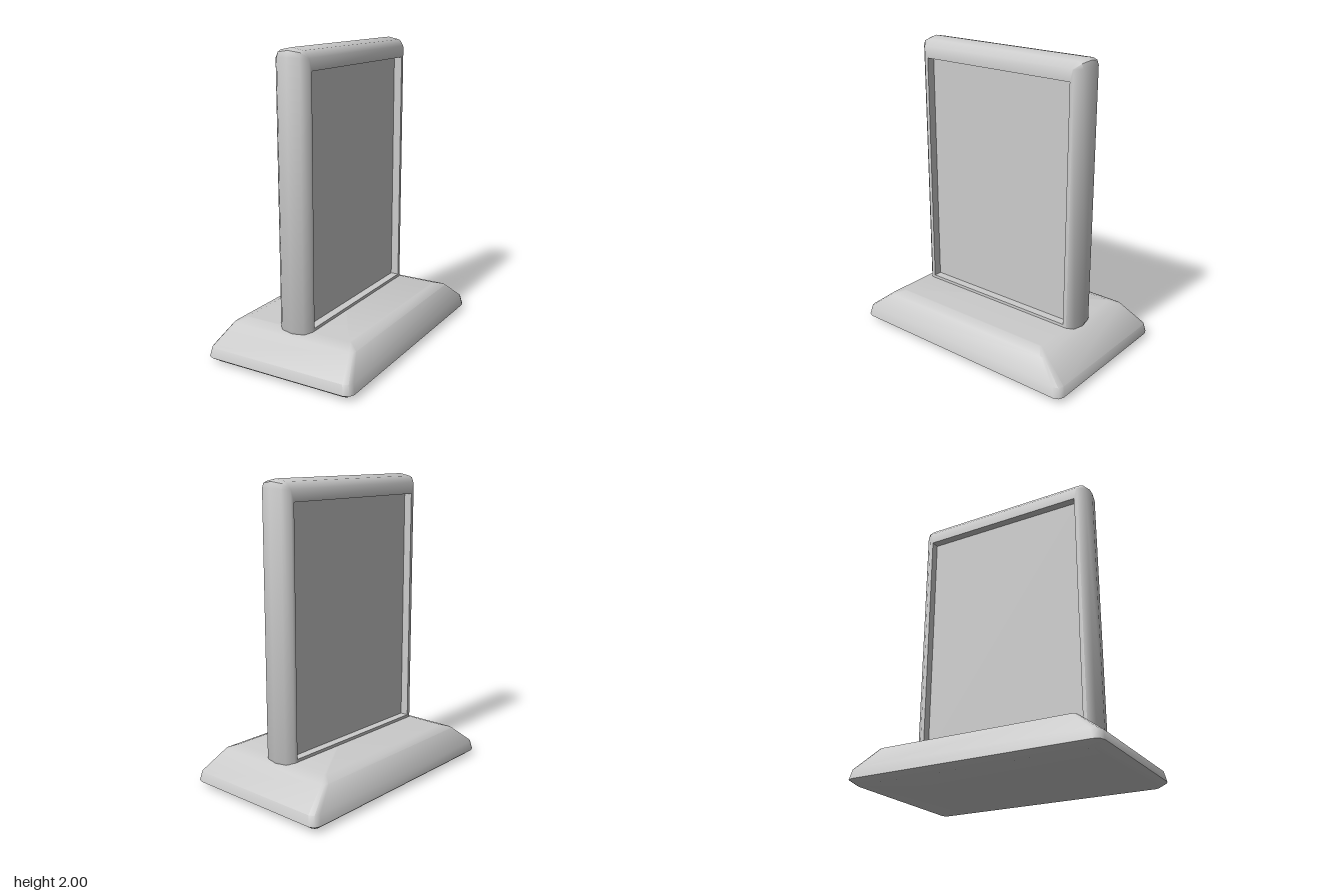
import * as THREE from 'three';
import { toCreasedNormals } from 'three/addons/utils/BufferGeometryUtils.js';

// Rounded rectangle, counter-clockwise, three points per corner
function roundedRect(u0, u1, v0, v1, r) {
  const corners = [[u1 - r, v1 - r], [u0 + r, v1 - r], [u0 + r, v0 + r], [u1 - r, v0 + r]];
  const points = [];
  corners.forEach(([u, v], q) => {
    for (let k = 0; k < 3; k++) {
      const a = (q + k / 2) * Math.PI / 2;
      points.push([u + r * Math.cos(a), v + r * Math.sin(a)]);
    }
  });
  return points;
}

// Skin a stack of loops of Vector3, optionally closing both ends
function loft(loops, capped) {
  const n = loops[0].length;
  const position = [];
  const tri = (...corners) => corners.forEach(p => position.push(p.x, p.y, p.z));
  for (let i = 0; i < loops.length - 1; i++) {
    for (let j = 0; j < n; j++) {
      const k = (j + 1) % n;
      const [low, high] = [loops[i], loops[i + 1]];
      tri(low[j], low[k], high[k]);
      tri(low[j], high[k], high[j]);
    }
  }
  if (capped) {
    const [first, last] = [loops[0], loops[loops.length - 1]];
    for (let j = 1; j < n - 1; j++) {
      tri(first[0], first[j + 1], first[j]);
      tri(last[0], last[j], last[j + 1]);
    }
  }
  const geometry = new THREE.BufferGeometry();
  geometry.setAttribute('position', new THREE.Float32BufferAttribute(position, 3));
  return toCreasedNormals(geometry, THREE.MathUtils.degToRad(44));
}

export function createModel() {
  const group = new THREE.Group();
  const material = new THREE.MeshStandardMaterial({ color: 0xcccccc });
  const add = (name, geometry) => {
    const mesh = new THREE.Mesh(geometry, material);
    mesh.name = name;
    group.add(mesh);
    return mesh;
  };

  // Foot: sloped sides, small undercut at the floor: [y, half x, half z, corner radius]
  const footSections = [
    [0, 0.49, 0.80, 0.03],
    [0.035, 0.535, 0.85, 0.05],
    [0.10, 0.522, 0.836, 0.05],
    [0.225, 0.455, 0.675, 0.03],
    [0.25, 0.39, 0.60, 0.01],
  ];
  add('base', loft(footSections.map(([y, hx, hz, r]) =>
    roundedRect(-hz, hz, -hx, hx, r).map(([z, x]) => new THREE.Vector3(x, y, z))), true));

  // Frame: rounded rim around a recessed opening, one half mirrored to the other
  const centerX = -0.007;
  const recessX = 0.062;
  const opening = [0.27, 1.865, 0.57, 0];
  // [x, bottom y, top y, half z, corner radius]
  const half = [
    [recessX, ...opening],
    [0.118, ...opening],
    [0.118, 0.22, 1.942, 0.595, 0.01],
    [0.08, 0.21, 1.984, 0.637, 0.04],
  ];
  const rim = [
    ...half.map(([x, ...rest]) => [-x, ...rest]),
    [0, 0.20, 2.0, 0.655, 0.055],
    ...half.slice().reverse(),
  ];
  add('frame', loft(rim.map(([x, y0, y1, hz, r]) =>
    roundedRect(y0, y1, -hz, hz, r).map(([y, z]) => new THREE.Vector3(x + centerX, y, z))), false));

  // Flat panel set back on both sides of the frame
  const [bottom, top, halfZ] = opening;
  const panel = add('panel', new THREE.BoxGeometry(recessX * 2, top - bottom, halfZ * 2));
  panel.position.set(centerX, (top + bottom) / 2, 0);

  return group;
}
